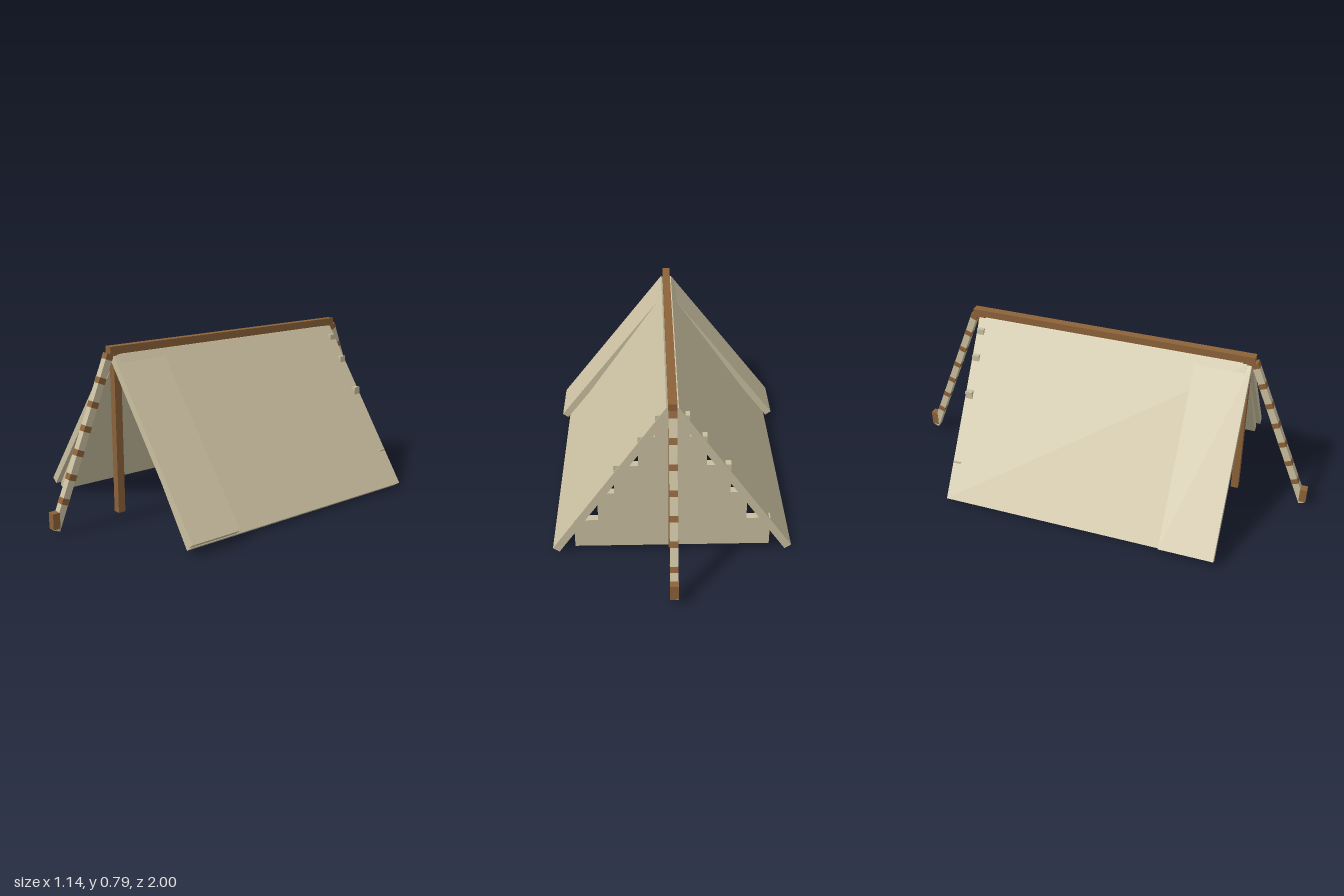
import * as THREE from 'three';

export function createModel() {
  const tent = new THREE.Group();
  tent.name = 'tent';
  const canvas = new THREE.MeshStandardMaterial({ name: 'canvas', color: 0xc9be9f });
  const wood = new THREE.MeshStandardMaterial({ name: 'wood', color: 0x8c6239 });
  const T = 0.035; // common thickness of boards and poles

  function box(name, mat, w, h, d, x, y, z, parent = tent) {
    const m = new THREE.Mesh(new THREE.BoxGeometry(w, h, d), mat);
    m.name = name;
    m.position.set(x, y, z);
    parent.add(m);
    return m;
  }

  // Sloping roof panel from its low edge (x, y) up to the ridge
  function panel(name, side, x, y, topX, topY, depth, z) {
    const dx = topX - x, dy = topY - y;
    const m = box(name, canvas, T, Math.hypot(dx, dy), depth, side * (x + topX) / 2, (y + topY) / 2, z);
    m.rotation.z = -Math.atan2(side * dx, dy);
  }

  // Roof sides, with wider entrance flaps over the front
  for (const [side, label] of [[1, 'left'], [-1, 'right']]) {
    panel(label + 'RoofPanel', side, 0.52, 0.0105, 0.011, 0.745, 1.31, 0);
    panel(label + 'EntranceFlap', side, 0.556, 0.039, 0.012, 0.74, 0.255, 0.5475);
  }

  // Ridge beam and upright posts
  box('ridgeBeam', wood, 0.037, T, 1.375, 0, 0.7725, 0);
  box('frontPost', wood, T, 0.73, T, 0, 0.395, 0.652);
  box('backPost', wood, T, 0.73, T, 0, 0.395, -0.652);

  // Stepped back wall: half width, bottom, top
  const steps = [
    [0.433, 0.03, 0.175], [0.326, 0.175, 0.32], [0.251, 0.32, 0.465],
    [0.146, 0.465, 0.61], [0.072, 0.61, 0.715],
  ];
  steps.forEach(([hw, y0, y1], i) =>
    box('backWallStep' + (i + 1), canvas, hw * 2, y1 - y0, T, 0, (y0 + y1) / 2, -0.634));

  // Striped guy poles with ground stakes, at both ends
  const low = [0.984, 0.022], high = [0.687, 0.755];
  const dz = high[0] - low[0], dy = high[1] - low[1];
  const length = Math.hypot(dz, dy);
  for (const [end, label] of [[1, 'front'], [-1, 'back']]) {
    const guy = new THREE.Group();
    guy.name = label + 'GuyPole';
    guy.position.set(0, (low[1] + high[1]) / 2, end * (low[0] + high[0]) / 2);
    guy.rotation.x = Math.atan2(end * dz, dy);
    tent.add(guy);
    box('pole', canvas, 0.034, length, 0.032, 0, 0, 0, guy);
    for (let i = 0; i < 7; i++) {
      const t = (0.143 + i * 0.1005 - low[1]) / dy;
      box('woodBand', wood, 0.036, 0.027, 0.034, 0, (t - 0.5) * length, 0, guy);
    }
    box(label + 'Stake', wood, 0.037, 0.072, 0.033, 0, 0.066, end * 0.9835);
  }
  return tent;
}
